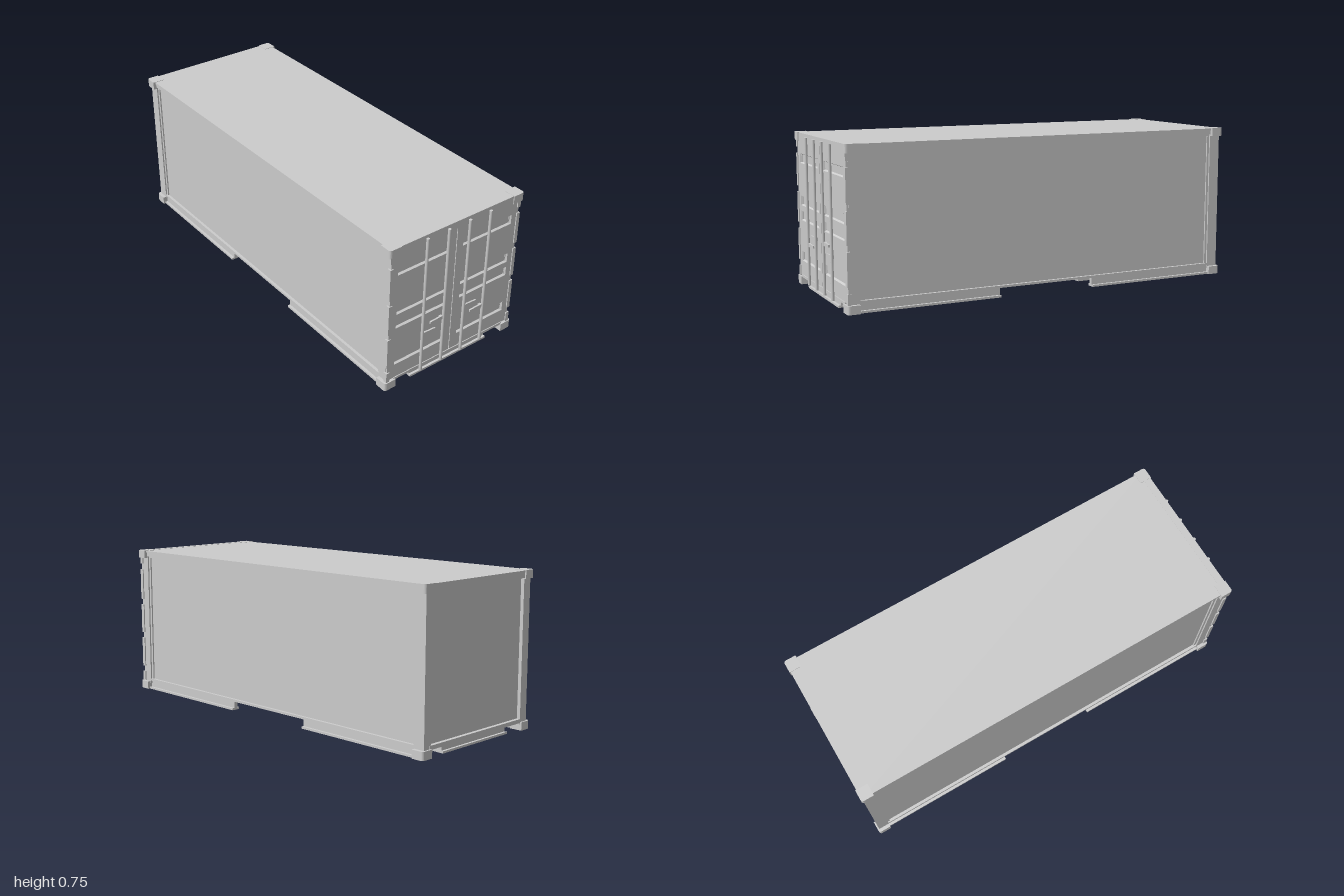
import * as THREE from 'three';

const material = new THREE.MeshStandardMaterial({ color: 0xcccccc, flatShading: true });
const smooth = new THREE.MeshStandardMaterial({ color: 0xcccccc });

export function createModel() {
  const model = new THREE.Group();

  function add(name, geometry, mat = material) {
    const mesh = new THREE.Mesh(geometry, mat);
    mesh.name = name;
    model.add(mesh);
    return mesh;
  }

  // box given by its limits on each axis
  function box(name, x0, x1, y0, y1, z0, z1) {
    const g = new THREE.BoxGeometry(x1 - x0, y1 - y0, z1 - z0);
    return add(name, g.translate((x0 + x1) / 2, (y0 + y1) / 2, (z0 + z1) / 2));
  }

  // the same box on both long sides
  function sideBoxes(name, x0, x1, y0, y1, z0, z1) {
    box(name, x0, x1, y0, y1, z0, z1);
    box(name, x0, x1, y0, y1, -z1, -z0);
  }

  // outline in (z, y), extruded towards +x from x0 to x1
  function endExtrude(name, shape, x0, x1) {
    const g = new THREE.ExtrudeGeometry(shape, { depth: x1 - x0, bevelEnabled: false });
    g.rotateY(Math.PI / 2).translate(x0, 0, 0);
    return add(name, g);
  }

  // outline in (z, y); the rotation turns shape x into -z
  const outline = (pts) => new THREE.Shape(pts.map(([z, y]) => new THREE.Vector2(-z, y)));
  const rectPoints = (z0, z1, y0, y1) => [[z0, y0], [z1, y0], [z1, y1], [z0, y1]];

  // main body and roof
  box('body', -0.975, 0.96, 0.045, 0.74, -0.353, 0.353);
  box('roof', -0.995, 0.982, 0.737, 0.746, -0.373, 0.373);

  // long side frame rails, stepped in towards the panel
  sideBoxes('topSideRail', -0.96, 0.95, 0.718, 0.74, 0.34, 0.369);
  sideBoxes('topSideRailStep', -0.94, 0.93, 0.709, 0.72, 0.34, 0.361);
  sideBoxes('bottomSideRail', -0.96, 0.95, 0.044, 0.055, 0.34, 0.367);

  // corner posts with a step beside the side panel
  sideBoxes('rearPost', -0.992, -0.937, 0.03, 0.74, 0.32, 0.367);
  sideBoxes('rearPostStep', -0.94, -0.925, 0.05, 0.715, 0.34, 0.36);
  sideBoxes('doorPost', 0.925, 0.972, 0.03, 0.74, 0.32, 0.367);
  sideBoxes('doorPostStep', 0.912, 0.93, 0.05, 0.715, 0.34, 0.36);

  // plain end frame
  box('rearHeader', -0.993, -0.96, 0.712, 0.742, -0.33, 0.33);
  box('rearSill', -0.993, -0.96, 0.036, 0.055, -0.33, 0.33);

  // door end frame
  box('doorHeader', 0.95, 0.986, 0.709, 0.747, -0.33, 0.33);
  box('doorSill', 0.95, 0.984, 0.035, 0.047, -0.33, 0.33);

  // hinge strips broken by notches
  for (const [y0, y1] of [[0.035, 0.09], [0.12, 0.275], [0.305, 0.455], [0.485, 0.645], [0.675, 0.715]])
    sideBoxes('hingeStrip', 0.966, 0.985, y0, y1, 0.355, 0.373);

  // corner castings with a rounded outer vertical edge
  for (const sx of [-1, 1]) for (const sz of [-1, 1]) for (const y of [0, 0.708]) {
    const xe = sx > 0 ? 0.99 : -1, xi = sx > 0 ? 0.93 : -0.938;
    const zi = sz * 0.322, ze = sz * 0.384;
    const r = 0.014;
    const s = new THREE.Shape();
    s.moveTo(xi, -zi);
    s.lineTo(xe, -zi);
    s.lineTo(xe, -(ze - sz * r));
    s.quadraticCurveTo(xe, -ze, xe - sx * r, -ze);
    s.lineTo(xi, -ze);
    const g = new THREE.ExtrudeGeometry(s, { depth: 0.04, bevelEnabled: false, curveSegments: 6 });
    add('cornerCasting', g.rotateX(-Math.PI / 2).translate(0, y, 0));
  }

  // underside: flanged side beams and a central tray near each end
  for (const [x0, x1, outer] of [[-0.945, -0.255, -0.985], [0.24, 0.94, 0.982]]) {
    sideBoxes('sideBeamWeb', x0, x1, 0.008, 0.048, 0.34, 0.36);
    sideBoxes('sideBeamFlange', x0, x1, 0, 0.01, 0.33, 0.373);
    const t0 = Math.min(x0, outer), t1 = Math.max(x1, outer);
    const inset = outer > 0 ? [0, 0.012] : [0.012, 0];
    box('underTray', t0 + inset[0], t1 - inset[1], 0.008, 0.047, -0.228, 0.228);
    box('underTrayFlange', t0, t1, 0, 0.01, -0.23, 0.23);
  }

  // doors with sunken panels whose borders slope inwards
  const face = 0.98, depth = 0.01, bevel = 0.005;
  const panelRows = [[0.118, 0.165], [0.319, 0.365], [0.393, 0.439], [0.599, 0.645]];
  for (const side of [-1, 1]) {
    const span = (a, b) => [Math.min(side * a, side * b), Math.max(side * a, side * b)];
    const [d0, d1] = span(0.003, 0.366);
    const [p0, p1] = span(0.039, 0.327);
    const door = outline(rectPoints(d0, d1, 0.045, 0.71));
    for (const [y0, y1] of panelRows) {
      door.holes.push(outline(rectPoints(p0, p1, y0, y1)));
      const rim = rectPoints(p0, p1, y0, y1).map(([z, y]) => [face, y, z]);
      const floor = rectPoints(p0 + bevel, p1 - bevel, y0 + bevel, y1 - bevel).map(([z, y]) => [face - depth, y, z]);
      const index = [4, 6, 5, 4, 7, 6];
      for (let i = 0; i < 4; i++) {
        const j = (i + 1) % 4;
        index.push(i, i + 4, j, j, i + 4, j + 4);
      }
      const g = new THREE.BufferGeometry();
      g.setAttribute('position', new THREE.Float32BufferAttribute([...rim, ...floor].flat(), 3));
      g.setIndex(index);
      const flat = g.toNonIndexed();
      flat.computeVertexNormals();
      add('doorPanelRecess', flat);
    }
    endExtrude('door', door, 0.96, face);

    // locking bars
    for (const z of [0.06, 0.181]) {
      const g = new THREE.CylinderGeometry(0.0075, 0.0075, 0.708, 12);
      add('lockingBar', g.translate(0.9925, 0.378, side * z), smooth);
    }

    // tapered handles, one on each bar
    for (const [za, zb, y] of [[0.064, 0.137, 0.266], [0.176, 0.104, 0.221]]) {
      const zm = za + (zb - za) * 0.45;
      const pts = [[za, y - 0.009], [zm, y - 0.008], [zb, y - 0.005], [zb, y + 0.006], [zm, y + 0.008], [za, y + 0.009]];
      endExtrude('doorHandle', outline(pts.map(([z, h]) => [side * z, h])), 0.986, 0.994);
      const [k0, k1] = span(za, za + (zb - za) * 0.2);
      box('handleBracket', 0.975, 0.99, y - 0.008, y + 0.008, k0, k1);
    }
  }

  // sealing strip between the doors
  box('doorSeal', 0.96, 0.984, 0.055, 0.707, -0.003, 0.003);

  return model;
}
